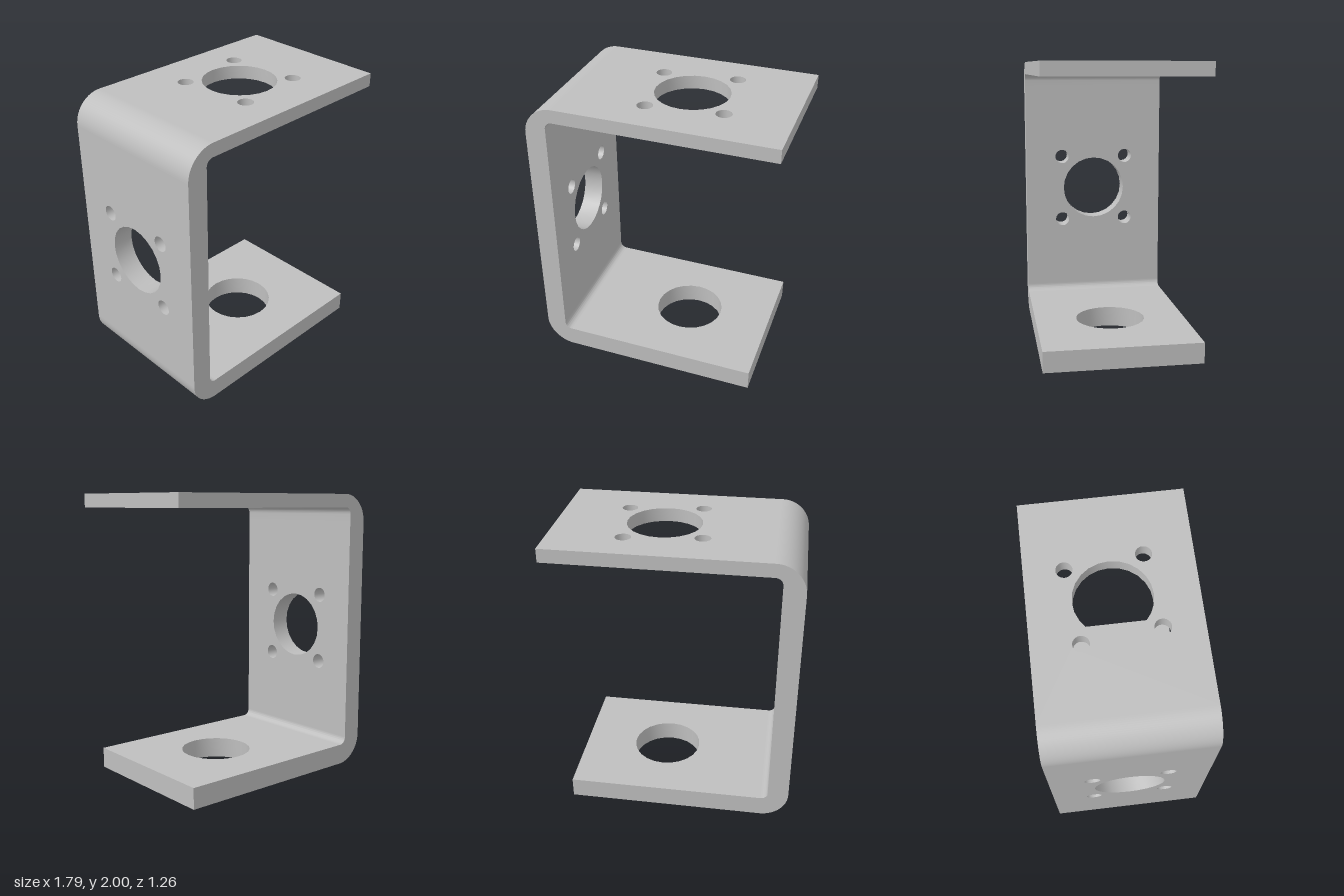
import * as THREE from 'three';
import { toCreasedNormals } from 'three/addons/utils/BufferGeometryUtils.js';

const YAW = 0.1075;             // whole bracket is turned slightly about y
const HALF_W = 0.5435;          // half width of the strip
const BACK = -0.843;            // outer face of the upright wall
const WALL_T = 0.146, TOP_T = 0.094, BASE_T = 0.146;
const R_OUT = 0.2, R_IN = 0.05; // bend radii
const BEND = BACK + R_OUT;      // where the bends end and the flat plates start

// Rectangle with round holes given as [x, y, radius]
function plateShape(x0, y0, x1, y1, holes) {
  const shape = new THREE.Shape();
  shape.moveTo(x0, y0).lineTo(x1, y0).lineTo(x1, y1).lineTo(x0, y1).closePath();
  for (const [x, y, r] of holes) {
    shape.holes.push(new THREE.Path().absarc(x, y, r, 0, Math.PI * 2, true));
  }
  return shape;
}

// Central bore with four bolt holes around it, turned by an angle
function boltPattern(cx, cy, bore, turn) {
  const holes = [[cx, cy, bore]];
  for (let i = 0; i < 4; i++) {
    const a = turn + Math.PI / 4 + i * Math.PI / 2;
    holes.push([cx + 0.362 * Math.cos(a), cy + 0.362 * Math.sin(a), 0.054]);
  }
  return holes;
}

function extrude(shape, depth) {
  return new THREE.ExtrudeGeometry(shape, { depth, bevelEnabled: false, curveSegments: 12 });
}

// Quarter bend joining the wall to a plate of thickness t, drawn for the base
function bendShape(t) {
  const inner = BACK + WALL_T;
  const s = new THREE.Shape();
  s.moveTo(BACK, R_OUT);
  s.absarc(BEND, R_OUT, R_OUT, Math.PI, Math.PI * 1.5, false);
  s.lineTo(BEND, t);
  s.absarc(inner + R_IN, t + R_IN, R_IN, Math.PI * 1.5, Math.PI, true);
  s.lineTo(inner, R_OUT);
  s.closePath();
  return s;
}

// Same outline mirrored to the top of the bracket
function flipToTop(shape) {
  return new THREE.Shape(shape.getPoints(12).map(p => new THREE.Vector2(p.x, 2 - p.y)));
}

export function createModel() {
  const metal = new THREE.MeshStandardMaterial({ color: 0xbebebe });
  metal.name = 'greyMetal';
  const bracket = new THREE.Group();
  bracket.name = 'bracket';

  const add = (name, geometry) => {
    const mesh = new THREE.Mesh(toCreasedNormals(geometry, 0.6), metal);
    mesh.name = name;
    bracket.add(mesh);
  };

  // Top plate with bore and bolt holes
  const topHoles = boltPattern(0.117, 0.003, 0.255, YAW);
  add('topPlate', extrude(plateShape(BEND, -HALF_W, 0.843, HALF_W, topHoles), TOP_T)
    .rotateX(-Math.PI / 2).translate(0, 2 - TOP_T, 0));

  // Thicker, shorter base plate with the bore only
  add('basePlate', extrude(plateShape(BEND, -HALF_W, 0.745, HALF_W, [[0.117, 0.003, 0.25]]), BASE_T)
    .rotateX(-Math.PI / 2));

  // Upright wall with bore and bolt holes
  const wallHoles = boltPattern(0, 0.992, 0.244, 0);
  add('uprightWall', extrude(plateShape(-HALF_W, R_OUT, HALF_W, 2 - R_OUT, wallHoles), WALL_T)
    .rotateY(Math.PI / 2).translate(BACK, 0, 0));

  // Rounded bends
  add('baseBend', extrude(bendShape(BASE_T), HALF_W * 2).translate(0, 0, -HALF_W));
  add('topBend', extrude(flipToTop(bendShape(TOP_T)), HALF_W * 2).translate(0, 0, -HALF_W));

  bracket.rotation.y = -YAW;
  const model = new THREE.Group();
  model.name = 'mountingBracket';
  model.add(bracket);
  return model;
}
